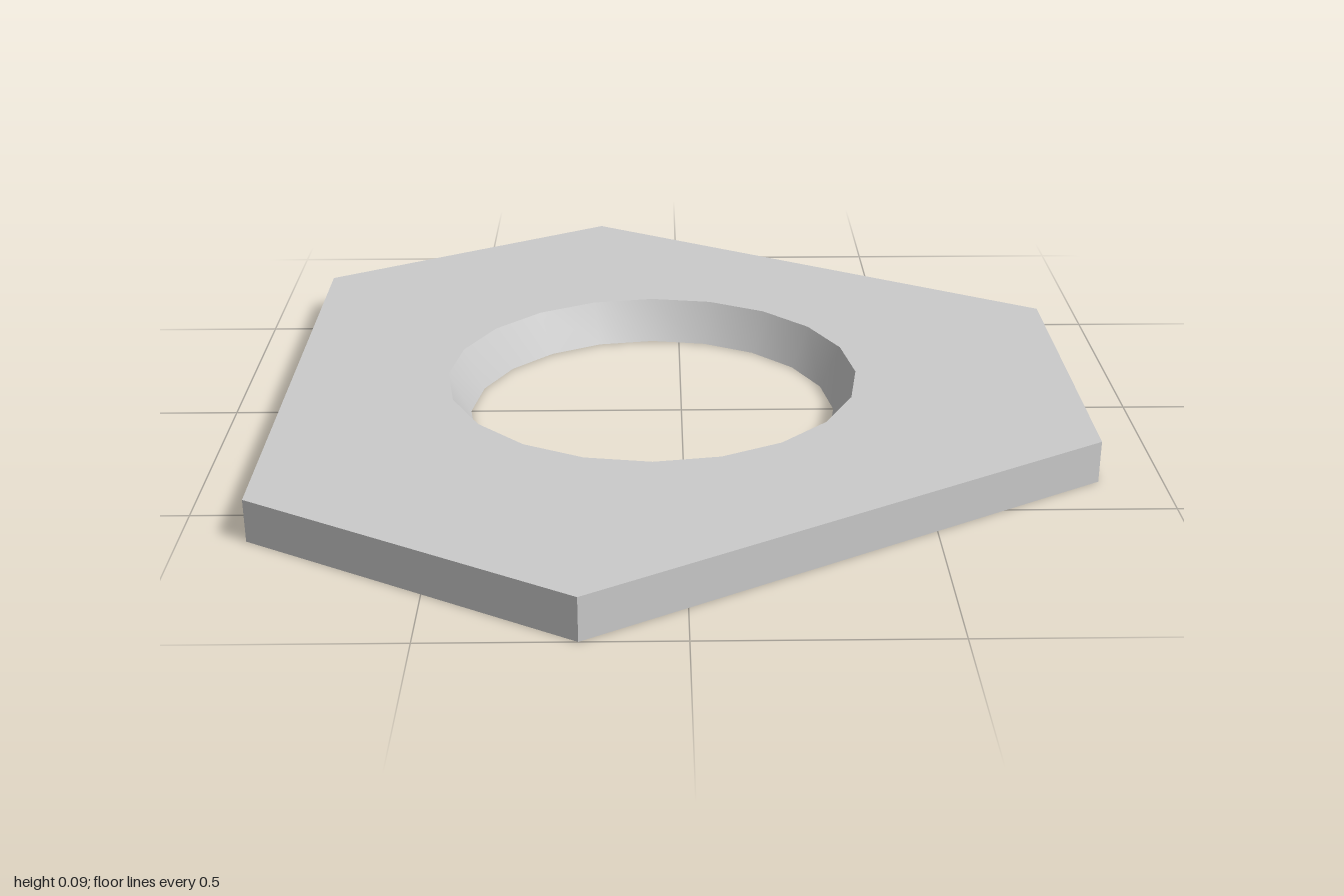
import * as THREE from 'three';
import { toCreasedNormals } from 'three/addons/utils/BufferGeometryUtils.js';

const HEIGHT = 0.092;
const HOLE_X = -0.065;
const HOLE_TOP = 0.455;
const HOLE_BOTTOM = 0.408;
const HOLE_SIDES = 20;

export function createModel() {
  const group = new THREE.Group();
  group.name = 'hexagonalPlate';

  // Irregular hexagon outline, mirrored front to back
  const half = [[0.865, 0.375], [-0.2, 1], [-0.865, 0.612]];
  const outline = [
    ...half.map(([x, y]) => new THREE.Vector2(x, y)),
    ...half.map(([x, y]) => new THREE.Vector2(x, -y)).reverse(),
  ];
  const shape = new THREE.Shape(outline);

  // Round hole
  const rim = [];
  for (let i = 0; i < HOLE_SIDES; i++) {
    const a = -(i / HOLE_SIDES) * Math.PI * 2;
    rim.push(new THREE.Vector2(HOLE_X + HOLE_TOP * Math.cos(a), HOLE_TOP * Math.sin(a)));
  }
  shape.holes.push(new THREE.Path(rim));

  const geometry = new THREE.ExtrudeGeometry(shape, { depth: HEIGHT, bevelEnabled: false });
  geometry.rotateX(-Math.PI / 2);

  // Taper the hole: draw its lower rim inwards
  const pos = geometry.attributes.position;
  const taper = HOLE_BOTTOM / HOLE_TOP;
  for (let i = 0; i < pos.count; i++) {
    const dx = pos.getX(i) - HOLE_X;
    const z = pos.getZ(i);
    if (pos.getY(i) < HEIGHT / 2 && Math.hypot(dx, z) < HOLE_TOP + 0.01) {
      pos.setX(i, HOLE_X + dx * taper);
      pos.setZ(i, z * taper);
    }
  }

  // Smooth hole wall, sharp outer edges
  const plate = new THREE.Mesh(
    toCreasedNormals(geometry, 0.5),
    new THREE.MeshStandardMaterial({ color: 0xcccccc })
  );
  plate.name = 'plate';
  group.add(plate);
  return group;
}
